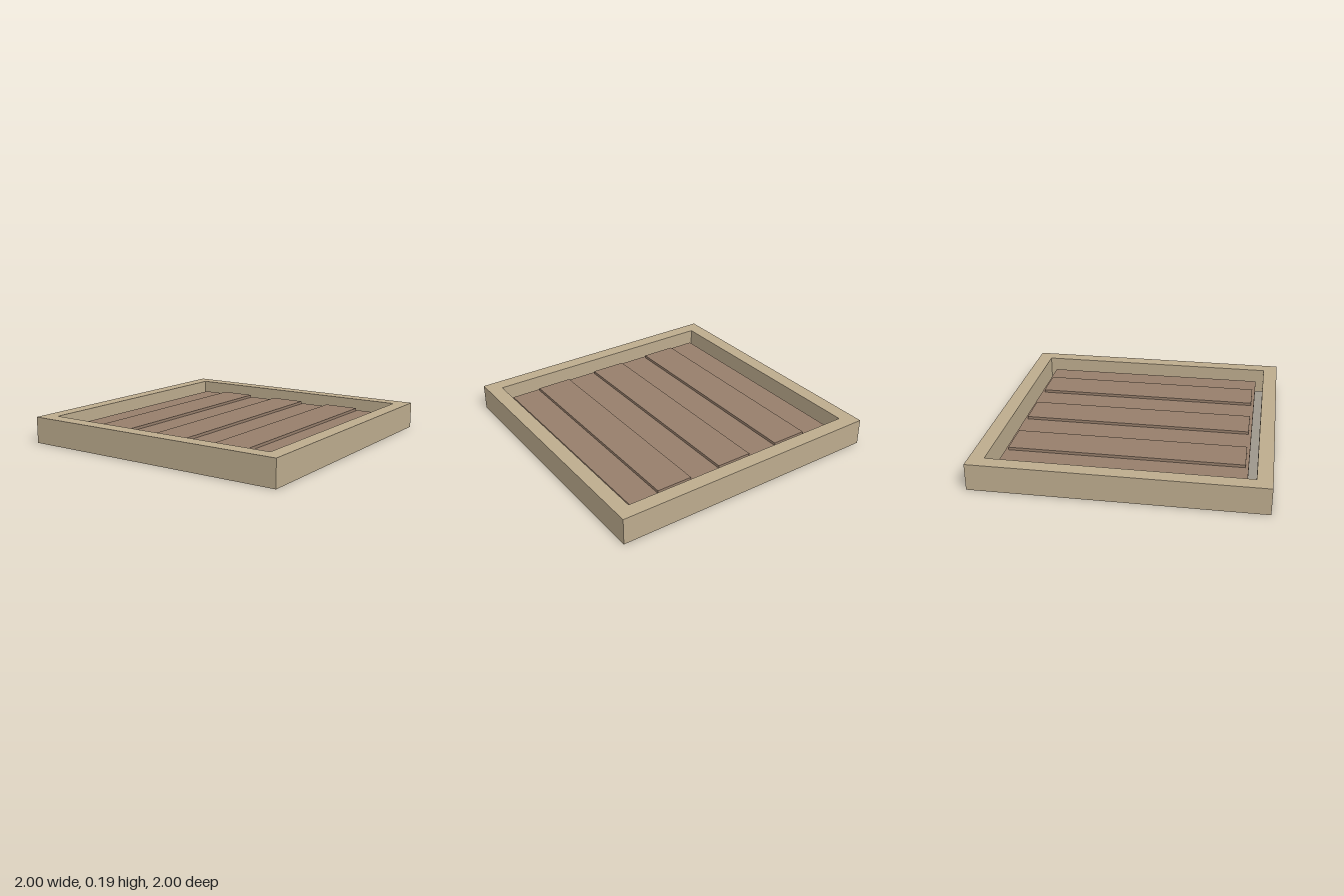
import * as THREE from 'three';

const FRAME_HEIGHT = 0.19;
const PANEL_TOP = 0.115;
const SLAT_HEIGHT = 0.02;

// Square outline centred on the origin
function square(path, half) {
  path.moveTo(-half, -half);
  path.lineTo(half, -half);
  path.lineTo(half, half);
  path.lineTo(-half, half);
  path.closePath();
  return path;
}

export function createModel() {
  const model = new THREE.Group();
  const paleWood = new THREE.MeshStandardMaterial({ name: 'paleWood', color: 0xbcab8d });
  const brownWood = new THREE.MeshStandardMaterial({ name: 'brownWood', color: 0x967e6b });

  // Box standing on a given height
  function addBox(name, width, height, depth, x, bottom) {
    const mesh = new THREE.Mesh(new THREE.BoxGeometry(width, height, depth), brownWood);
    mesh.name = name;
    mesh.position.set(x, bottom + height / 2, 0);
    model.add(mesh);
  }

  // Square outer frame, open in the middle
  const outline = square(new THREE.Shape(), 1);
  outline.holes.push(square(new THREE.Path(), 0.895));
  const frameGeometry = new THREE.ExtrudeGeometry(outline, { depth: FRAME_HEIGHT, bevelEnabled: false });
  frameGeometry.rotateX(-Math.PI / 2);
  const frame = new THREE.Mesh(frameGeometry, paleWood);
  frame.name = 'frame';
  model.add(frame);

  // Inset panel, separated from the frame by a narrow gap
  addBox('panel', 1.674, PANEL_TOP, 1.674, 0, 0);

  // Three raised slats running front to back
  [-0.492, 0, 0.492].forEach((x, i) => {
    addBox(`slat${i + 1}`, 0.262, SLAT_HEIGHT, 1.632, x, PANEL_TOP);
  });

  return model;
}
